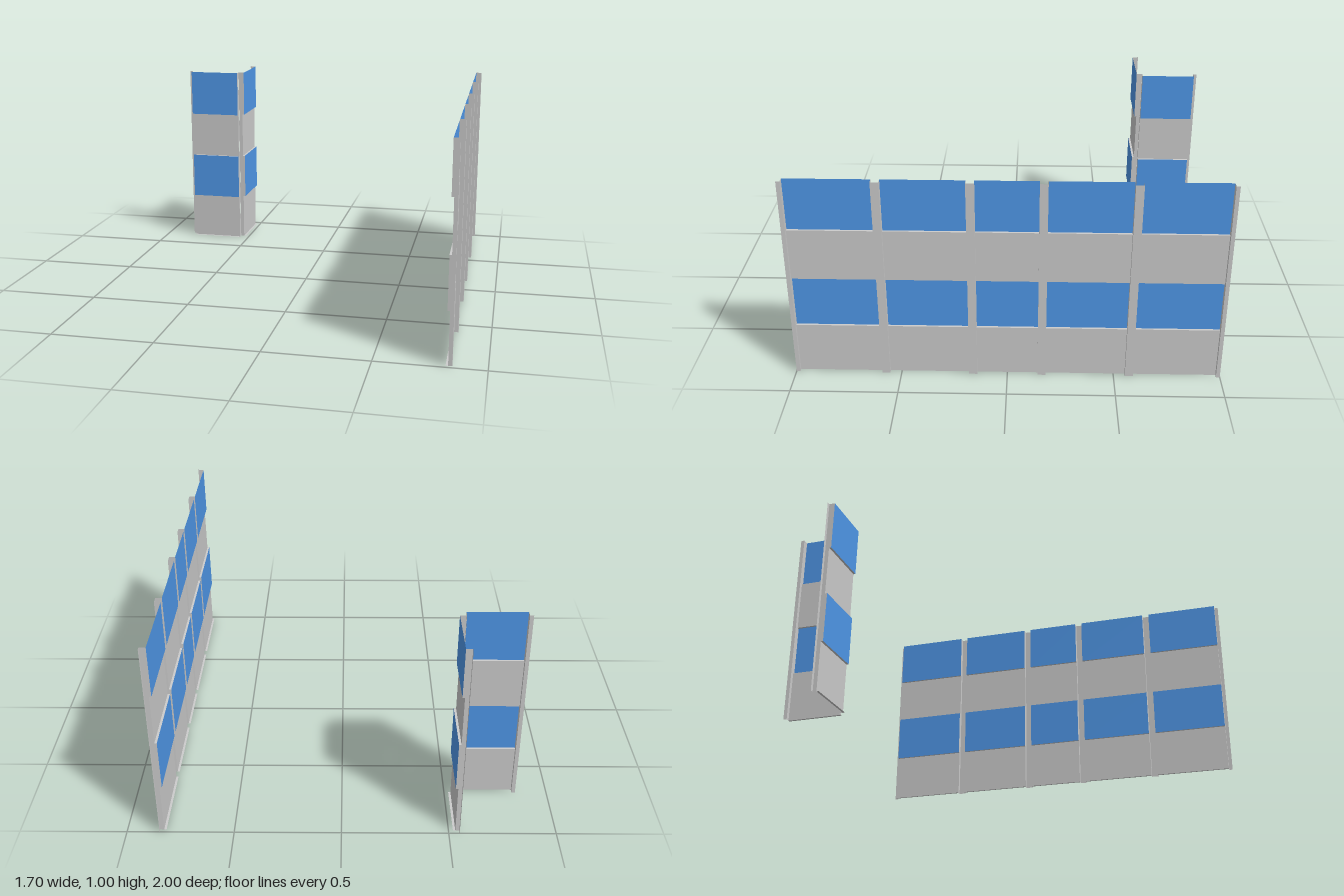
import * as THREE from 'three';

const grey = new THREE.MeshStandardMaterial({ color: 0xcccccc, side: THREE.DoubleSide });
const blue = new THREE.MeshStandardMaterial({ color: 0x4f97e8, side: THREE.DoubleSide });

// depths of the folded sheet, measured back from the glazing face
const SPANDREL = -0.011, MULLION = -0.03;
const STOREY = 0.25, HEIGHT = 1;

// flat sheets facing z, y and x
function sheet(name, w, h, material, x, y, z) {
  const mesh = new THREE.Mesh(new THREE.PlaneGeometry(w, h), material);
  mesh.name = name;
  mesh.position.set(x, y, z);
  return mesh;
}
function ledge(x0, x1, y) {
  const m = sheet('ledge', x1 - x0, -SPANDREL, grey, (x0 + x1) / 2, y, SPANDREL / 2);
  m.rotation.x = -Math.PI / 2;
  return m;
}
function sideWall(x, y, front) {
  const m = sheet('mullionSide', front - MULLION, STOREY, grey, x, y, (front + MULLION) / 2);
  m.rotation.y = Math.PI / 2;
  return m;
}

// one bay: alternating spandrel and window bands, with ledges and returns
function bay(x0, x1) {
  const g = new THREE.Group();
  g.name = 'bay';
  for (let i = 0; i < 4; i++) {
    const isWindow = i % 2 === 1;
    const z = isWindow ? 0 : SPANDREL;
    const y = (i + 0.5) * STOREY;
    g.add(sheet(isWindow ? 'window' : 'spandrel', x1 - x0, STOREY, isWindow ? blue : grey, (x0 + x1) / 2, y, z));
    g.add(ledge(x0, x1, i * STOREY));
    for (const x of [x0, x1]) g.add(sideWall(x, y, z));
  }
  return g;
}

// a facade from start to end, with recessed mullion strips between its bays
function facade(name, start, end, bays) {
  const g = new THREE.Group();
  g.name = name;
  let x = start;
  for (const [x0, x1] of [...bays, [end, end]]) {
    if (x0 - x > 1e-4) g.add(sheet('mullion', x0 - x, HEIGHT, grey, (x + x0) / 2, HEIGHT / 2, MULLION));
    if (x1 > x0) g.add(bay(x0, x1));
    x = x1;
  }
  return g;
}

export function createModel() {
  const model = new THREE.Group();
  model.name = 'facades';

  // long facade, glazing facing -x
  const long = facade('longFacade', -1, 1,
    [[-0.982, -0.592], [-0.554, -0.18], [-0.142, 0.142], [0.18, 0.554], [0.592, 0.982]]);
  long.rotation.y = -Math.PI / 2;
  long.position.x = 0.818;

  // corner pair: one facing +z, one facing +x, meeting in a notch
  const front = facade('cornerFront', -0.848, -0.552, [[-0.83, -0.5525]]);
  front.position.z = -0.673;
  // the notch is closed by the return of the neighbouring facade
  const side = facade('cornerSide', 0.703, 1, [[0.7035, 0.982]]);
  side.rotation.y = Math.PI / 2;
  side.position.x = -0.521;

  model.add(long, front, side);
  return model;
}
